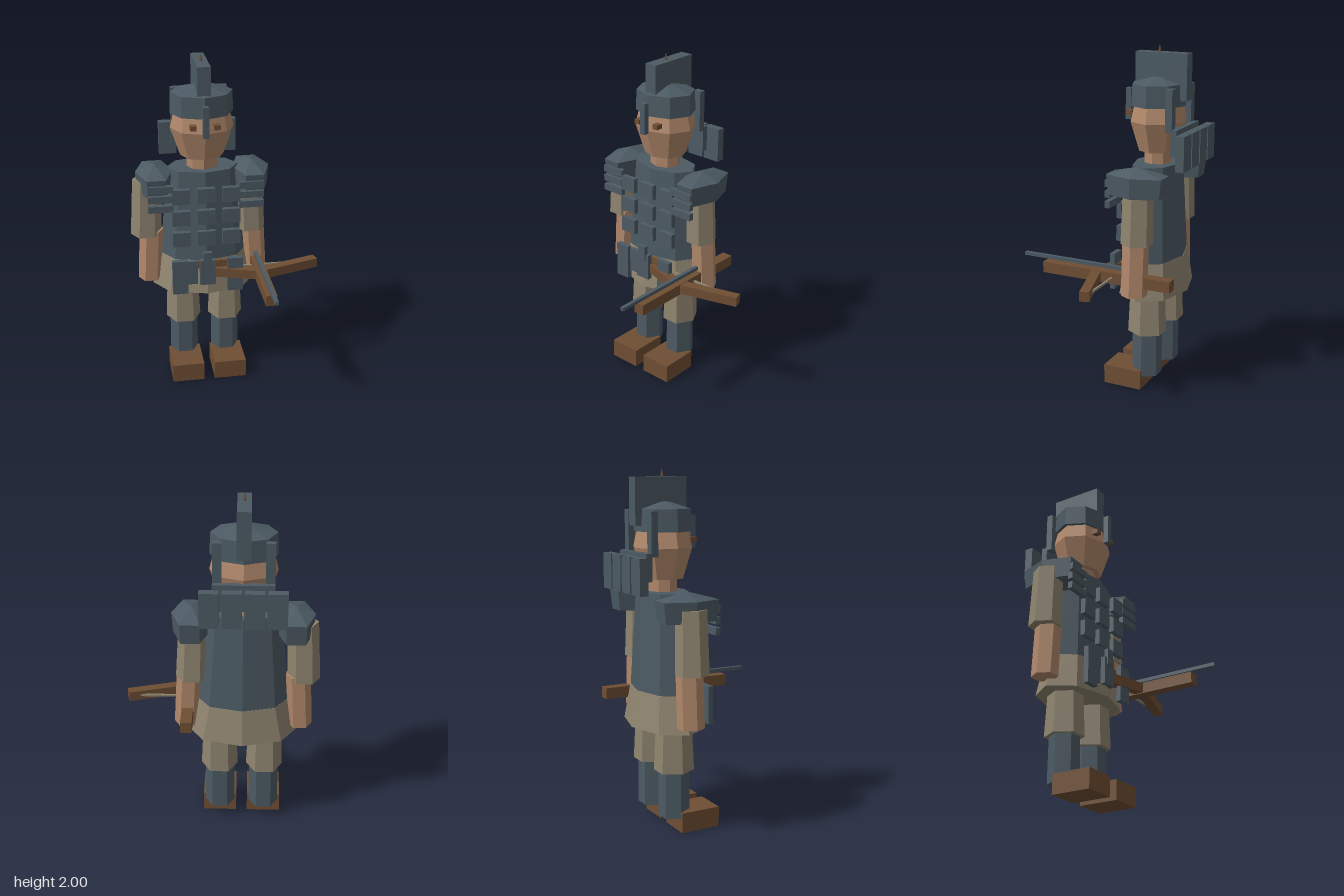
import * as THREE from 'three';

const mat = (name, color) => {
  const m = new THREE.MeshStandardMaterial({ color, flatShading: true });
  m.name = name;
  return m;
};

export function createModel() {
  const steel = mat('steel', 0x4c5a63);
  const cloth = mat('cloth', 0x8f846f);
  const skin = mat('skin', 0xb0876a);
  const leather = mat('leather', 0x6f4e34);

  const model = new THREE.Group();
  model.name = 'soldier';
  const body = new THREE.Group();
  body.name = 'body';
  body.position.set(-0.12, 0, -0.23);
  model.add(body);

  const add = (parent, name, geometry, material, x = 0, y = 0, z = 0) => {
    const mesh = new THREE.Mesh(geometry, material);
    mesh.name = name;
    mesh.position.set(x, y, z);
    parent.add(mesh);
    return mesh;
  };
  // Box given by its centre in x and z and its lower and upper height
  const box = (parent, name, material, x, y0, y1, z, w, d) =>
    add(parent, name, new THREE.BoxGeometry(w, y1 - y0, d), material, x, (y0 + y1) / 2, z);
  // Faceted prism with its own radius at each end; dx leans the top sideways
  const prism = (name, material, sides, x, y0, y1, r0, r1, depth = 1, dx = 0, open = false) => {
    const h = y1 - y0;
    const g = new THREE.CylinderGeometry(r1, r0, h, sides, 1, open, Math.PI / 2);
    g.scale(1, 1, depth);
    const p = g.attributes.position;
    for (let i = 0; i < p.count; i++) p.setX(i, p.getX(i) + dx * (p.getY(i) / h + 0.5));
    g.computeVertexNormals();
    return add(body, name, g, material, x, (y0 + y1) / 2, 0);
  };

  // Legs and boots
  for (const s of [-1, 1]) {
    const side = s < 0 ? 'right' : 'left';
    box(body, side + 'Boot', leather, s * 0.13, 0, 0.115, 0.118, 0.195, 0.235);
    prism(side + 'Greave', steel, 6, s * 0.128, 0.08, 0.36, 0.086, 0.084, 1.03);
    prism(side + 'Trouser', cloth, 6, s * 0.13, 0.345, 0.7, 0.106, 0.09, 1.08);
  }

  // Torso
  prism('tunicSkirt', cloth, 8, 0, 0.585, 0.79, 0.312, 0.26, 0.63);
  prism('breastplate', steel, 8, 0, 0.78, 1.34, 0.26, 0.21, 0.62);
  for (let row = 0; row < 3; row++) {
    for (let col = -1; col <= 1; col++) {
      const y = 1.21 - row * 0.135;
      box(body, 'chestPlate', steel, col * 0.147, y - 0.045, y + 0.045, 0.155, 0.105, 0.03);
    }
  }

  // Belt, hanging strips and buckle
  box(body, 'belt', leather, 0, 0.745, 0.79, 0.157, 0.25, 0.025);
  for (const s of [-1, 1]) box(body, 'hangingStrip', steel, s * 0.165, 0.6, 0.815, 0.19, 0.09, 0.03);
  box(body, 'innerStrip', steel, -0.09, 0.65, 0.8, 0.175, 0.065, 0.02);
  box(body, 'centreStrip', steel, 0, 0.65, 0.81, 0.19, 0.092, 0.03);
  box(body, 'buckle', steel, 0, 0.77, 0.865, 0.2, 0.05, 0.025);

  // Shoulder guards with low pointed tops and front bands
  for (const s of [-1, 1]) {
    const x = s * 0.285;
    prism('shoulderGuard', steel, 6, x, 1.205, 1.32, 0.102, 0.11, 1.73);
    prism('shoulderTop', steel, 6, x, 1.32, 1.365, 0.11, 0.001, 1.73);
    for (let i = 0; i < 3; i++) {
      const y = 1.265 - i * 0.06;
      box(body, 'shoulderBand', steel, s * 0.265, y - 0.02, y + 0.02, 0.16, 0.145, 0.03);
    }
  }

  // Arms
  prism('rightSleeve', cloth, 6, -0.343, 0.925, 1.275, 0.092, 0.085, 1, 0.015);
  prism('rightForearm', skin, 6, -0.328, 0.63, 0.95, 0.072, 0.072, 1.05, 0.018);
  prism('leftSleeve', cloth, 6, 0.285, 0.925, 1.275, 0.092, 0.085, 1, -0.015);
  prism('leftForearm', skin, 6, 0.318, 0.63, 0.95, 0.072, 0.072, 1.05, -0.018);

  // Head
  prism('neck', skin, 8, 0, 1.32, 1.43, 0.092, 0.092, 0.88);
  prism('jaw', skin, 8, 0, 1.41, 1.58, 0.128, 0.185, 0.88);
  prism('brow', skin, 8, 0, 1.58, 1.68, 0.185, 0.16, 0.88);
  for (const s of [-1, 1]) box(body, 'eye', leather, s * 0.068, 1.607, 1.635, 0.15, 0.035, 0.04);

  // Helmet with crest, nose guard and cheek guards
  prism('helmetRim', steel, 8, 0, 1.668, 1.79, 0.184, 0.178, 0.86);
  prism('helmetTop', steel, 8, 0, 1.79, 1.838, 0.178, 0.001, 0.86);
  box(body, 'crest', steel, 0, 1.7, 1.96, -0.025, 0.076, 0.31);
  prism('spike', leather, 6, 0, 1.955, 2, 0.01, 0.001);
  box(body, 'noseGuard', steel, 0, 1.57, 1.75, 0.183, 0.034, 0.034);
  for (const s of [-1, 1]) box(body, 'cheekGuard', steel, s * 0.14, 1.54, 1.78, -0.128, 0.05, 0.04);
  box(body, 'neckGuard', steel, 0, 1.41, 1.56, -0.16, 0.33, 0.036);
  for (let i = 0; i < 4; i++) {
    box(body, 'backPlate', steel, (i - 1.5) * 0.12, 1.345, 1.543, -0.225, 0.105, 0.05);
  }

  // Crossbow held level in the left hand
  const bow = new THREE.Group();
  bow.name = 'crossbow';
  bow.position.x = 0.191;
  model.add(bow);
  box(bow, 'stock', leather, 0, 0.685, 0.75, -0.055, 0.065, 0.8);
  for (const s of [-1, 1]) {
    const limb = box(bow, 'bowLimb', leather, s * 0.178, 0.69, 0.747, -0.046, 0.375, 0.056);
    limb.rotation.y = s * 0.29;
  }
  box(bow, 'bowString', cloth, 0, 0.713, 0.725, -0.102, 0.68, 0.012);
  box(bow, 'bolt', steel, 0, 0.765, 0.785, 0.16, 0.022, 0.64);

  return model;
}
